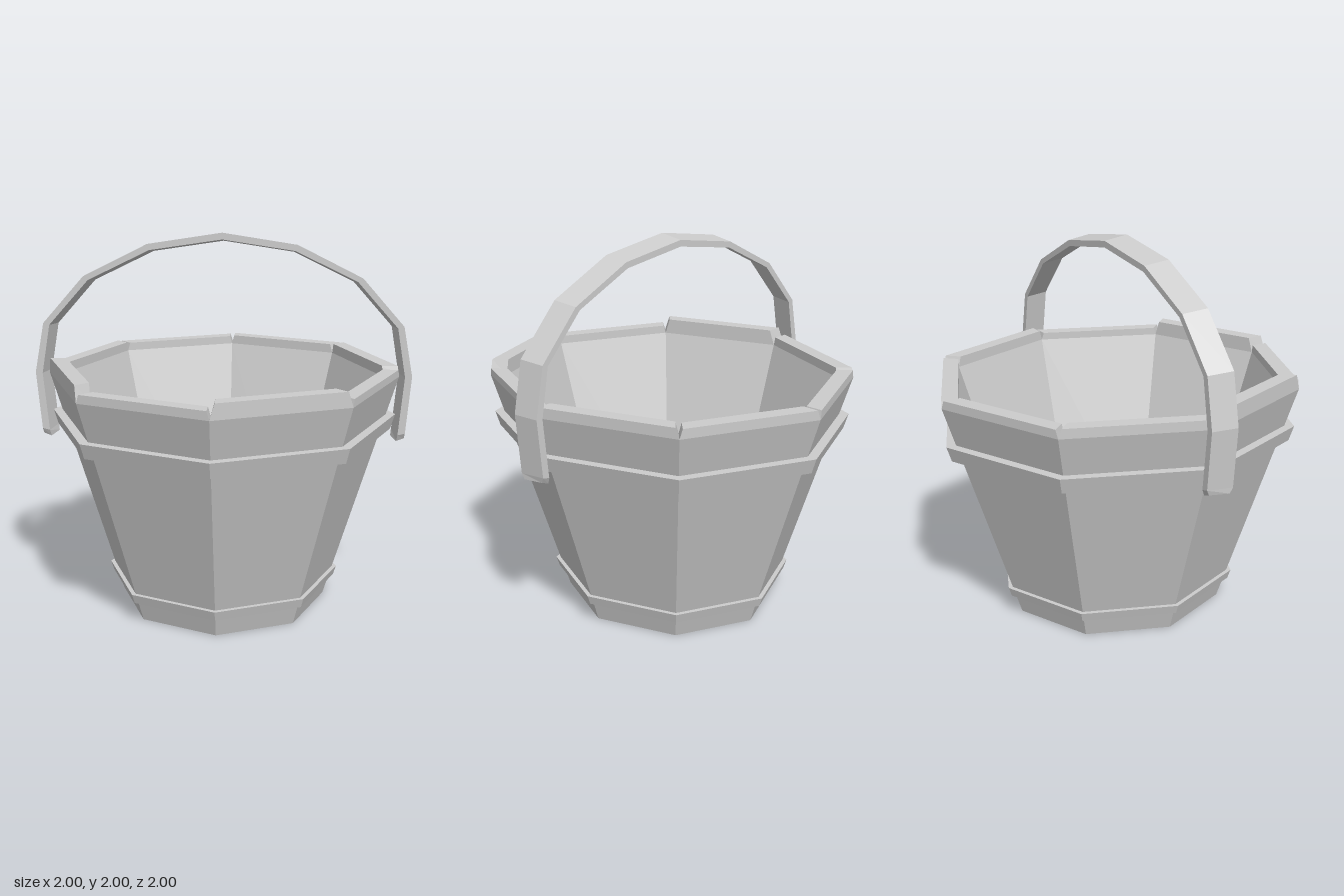
import * as THREE from 'three';

const X_SCALE = 0.938; // the tub is slightly narrower across than front to back
const RIM_Y = 1.24, RIM_OUT = 1, RIM_IN = 0.91;

// Split faces apart so every facet has its own flat normal
function faceted(geometry) {
  const g = geometry.index ? geometry.toNonIndexed() : geometry;
  g.deleteAttribute('uv');
  g.computeVertexNormals();
  return g;
}

// Eight-sided turned shape from [radius, height] pairs
function octagonal(profile) {
  const points = profile.map(([r, y]) => new THREE.Vector2(r, y));
  return faceted(new THREE.LatheGeometry(points, 8).scale(X_SCALE, 1, 1));
}

// Join a row of four-cornered cross-sections and cap both ends
function loft(sections) {
  const n = sections.length, index = [];
  for (let i = 0; i < n - 1; i++) {
    for (let k = 0; k < 4; k++) {
      const a = i * 4 + k, b = i * 4 + (k + 1) % 4;
      index.push(a, a + 4, b + 4, a, b + 4, b);
    }
  }
  const e = (n - 1) * 4;
  index.push(0, 1, 2, 0, 2, 3, e, e + 2, e + 1, e, e + 3, e + 2);
  const g = new THREE.BufferGeometry();
  g.setAttribute('position', new THREE.Float32BufferAttribute(sections.flat(2), 3));
  g.setIndex(index);
  return faceted(g);
}

// Point on one side of the octagon, t running from corner to corner
function sidePoint(side, t, radius, y) {
  const a = side * Math.PI / 4, b = a + Math.PI / 4;
  return [
    radius * X_SCALE * THREE.MathUtils.lerp(Math.sin(a), Math.sin(b), t),
    y,
    radius * THREE.MathUtils.lerp(Math.cos(a), Math.cos(b), t),
  ];
}

// Upright stave end with sloping corners
function staveTop(side, height) {
  const inset = (height - RIM_Y) * 0.45;
  const stops = [[0, RIM_Y], [inset, height], [1 - inset, height], [1, RIM_Y]];
  return loft(stops.map(([t, y]) => [
    sidePoint(side, t, RIM_OUT, RIM_Y),
    sidePoint(side, t, RIM_OUT, y),
    sidePoint(side, t, RIM_IN, y),
    sidePoint(side, t, RIM_IN, RIM_Y),
  ]));
}

// Arched strap, its back edge a little smaller than its front edge
function handleGeometry() {
  // outer x, outer y, inner x, inner y, half width
  const half = [
    [0, 2, 0, 1.965, 0.067],
    [0.39, 1.94, 0.38, 1.908, 0.067],
    [0.73, 1.77, 0.705, 1.75, 0.067],
    [0.95, 1.52, 0.918, 1.51, 0.067],
    [1, 1.255, 0.963, 1.25, 0.067],
    [0.974, 0.945, 0.935, 0.935, 0.067],
    [0.97, 0.915, 0.93, 0.9, 0.052],
  ];
  const mirrored = half.slice(1).reverse().map(([ox, oy, ix, iy, w]) => [-ox, oy, -ix, iy, w]);
  const back = (x, y, w) => [x * 0.975, 1.1 + (y - 1.1) * 0.978, -w];
  return loft([...mirrored, ...half].map(([ox, oy, ix, iy, w]) => [
    [ix, iy, w], [ox, oy, w], back(ox, oy, w), back(ix, iy, w),
  ]));
}

export function createModel() {
  const model = new THREE.Group();
  model.name = 'bucket';
  const grey = new THREE.MeshStandardMaterial({ color: 0xcccccc });
  grey.name = 'plainGrey';

  const add = (name, geometry, parent = model) => {
    const mesh = new THREE.Mesh(geometry, grey);
    mesh.name = name;
    parent.add(mesh);
  };

  // Tub: underside, outer wall, rim, inner wall and floor
  add('tub', octagonal([
    [0, 0], [0.595, 0], [RIM_OUT, RIM_Y], [RIM_IN, RIM_Y], [0.545, 0.12], [0, 0.12],
  ]));

  // Uneven stave ends around the rim
  const staves = new THREE.Group();
  staves.name = 'staveTops';
  model.add(staves);
  [1.32, 1.28, 1.295, 1.29, 1.285, 1.29, 1.325, 1.285].forEach((height, side) => {
    add('staveTop' + (side + 1), staveTop(side, height), staves);
  });

  // Hoops
  add('lowerHoop', octagonal([[0.62, 0.11], [0.655, 0.11], [0.672, 0.16], [0.635, 0.16]]));
  add('upperHoop', octagonal([[0.89, 0.955], [0.96, 0.955], [0.986, 1.035], [0.92, 1.035]]));

  add('handle', handleGeometry());
  return model;
}
